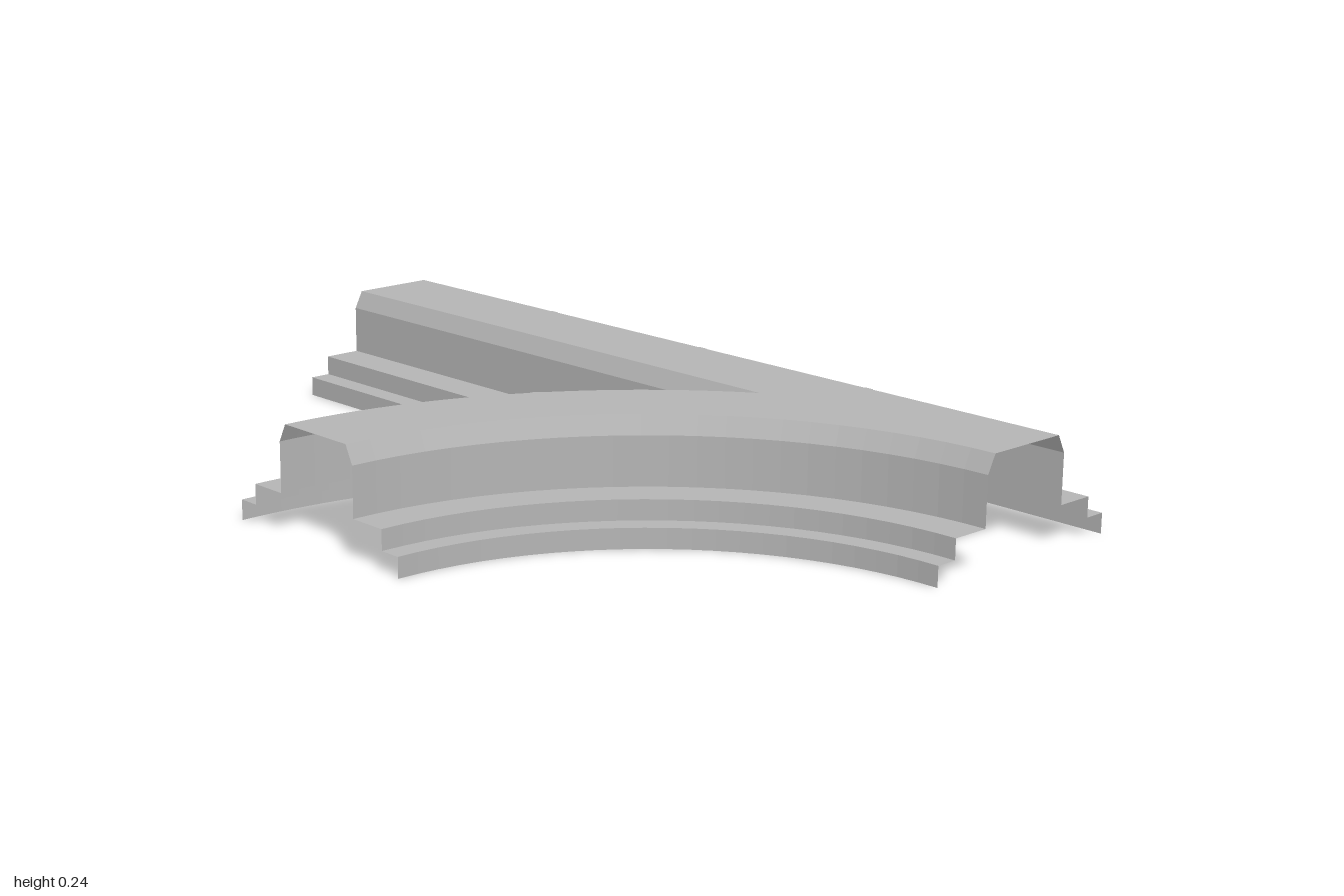
import * as THREE from 'three';

const SEGMENTS = 24;
const STRAIGHT_Z = -0.37;          // centre line of the straight track
const CX = 1, CZ = 0.63;           // centre of the branch curve, radius 1
const TOP = 0.24, ROOF = 0.1;

// half cross-section, from the foot up: [offset from centre line, height]
const PROFILE = [[0.26, 0], [0.26, 0.045], [0.21, 0.045], [0.21, 0.09],
  [0.12, 0.09], [0.12, 0.2], [ROOF, TOP]];

const arcPoint = (r, t) => [CX - r * Math.cos(t), CZ - r * Math.sin(t)];

function arc(r, from, to) {
  const pts = [];
  for (let i = 0; i <= SEGMENTS; i++) pts.push(arcPoint(r, from + (to - from) * i / SEGMENTS));
  return pts;
}

// angle at which the branch's outer side meets the straight's front side
const meetAngle = d => Math.asin((1 - d) / (1 + d));

// plan paths of the three walls at a given offset
const backPath = d => [[1, STRAIGHT_Z - d], [-1, STRAIGHT_Z - d]];
const innerPath = d => arc(1 - d, 0, Math.PI / 2);
const forkPath = d => [[-1, STRAIGHT_Z + d], ...arc(1 + d, meetAngle(d), 0)];

// sweeps the stepped half profile along a path that depends on the offset
function sideGeometry(path) {
  const pos = [];
  for (let k = 0; k < PROFILE.length - 1; k++) {
    const [d0, y0] = PROFILE[k], [d1, y1] = PROFILE[k + 1];
    const low = path(d0), high = path(d1);
    for (let i = 0; i < low.length - 1; i++) {
      const a = [low[i][0], y0, low[i][1]], b = [low[i + 1][0], y0, low[i + 1][1]];
      const c = [high[i + 1][0], y1, high[i + 1][1]], e = [high[i][0], y1, high[i][1]];
      pos.push(...a, ...b, ...c, ...a, ...c, ...e);
    }
  }
  const g = new THREE.BufferGeometry();
  g.setAttribute('position', new THREE.Float32BufferAttribute(pos, 3));
  g.computeVertexNormals();
  return g;
}

// flat horizontal face from a plan outline of [x, z] points
function flatGeometry(outline, y) {
  const shape = new THREE.Shape(outline.map(([x, z]) => new THREE.Vector2(x, -z)));
  return new THREE.ShapeGeometry(shape).rotateX(-Math.PI / 2).translate(0, y, 0);
}

export function createModel() {
  const group = new THREE.Group();
  group.name = 'trackJunction';
  const grey = new THREE.MeshStandardMaterial({ color: 0xb4b4b4, side: THREE.DoubleSide, flatShading: true });
  grey.name = 'grey';

  const add = (name, geometry) => {
    const mesh = new THREE.Mesh(geometry, grey);
    mesh.name = name;
    group.add(mesh);
  };

  // stepped sides
  add('backSide', sideGeometry(backPath));
  add('innerCurveSide', sideGeometry(innerPath));
  add('forkSide', sideGeometry(forkPath));

  // one continuous top deck over straight and branch
  add('topDeck', flatGeometry([
    ...backPath(ROOF).reverse(),
    ...innerPath(ROOF).reverse(),
    ...forkPath(ROOF).reverse(),
  ], TOP));

  // hairline joint strips across the deck
  const w = 0.012, jointY = TOP + 0.001;
  for (const x of [-0.5, 0, 0.5]) {
    const z0 = STRAIGHT_Z - ROOF, z1 = STRAIGHT_Z + ROOF;
    add('straightJoint', flatGeometry([[x - w, z0], [x - w, z1], [x + w, z1], [x + w, z0]], jointY));
  }
  for (const t of [Math.PI / 6, Math.PI / 3]) {
    const r0 = 1 - ROOF, r1 = 1 + ROOF;
    add('branchJoint', flatGeometry([arcPoint(r0, t - w), arcPoint(r1, t - w),
      arcPoint(r1, t + w), arcPoint(r0, t + w)], jointY));
  }
  return group;
}
